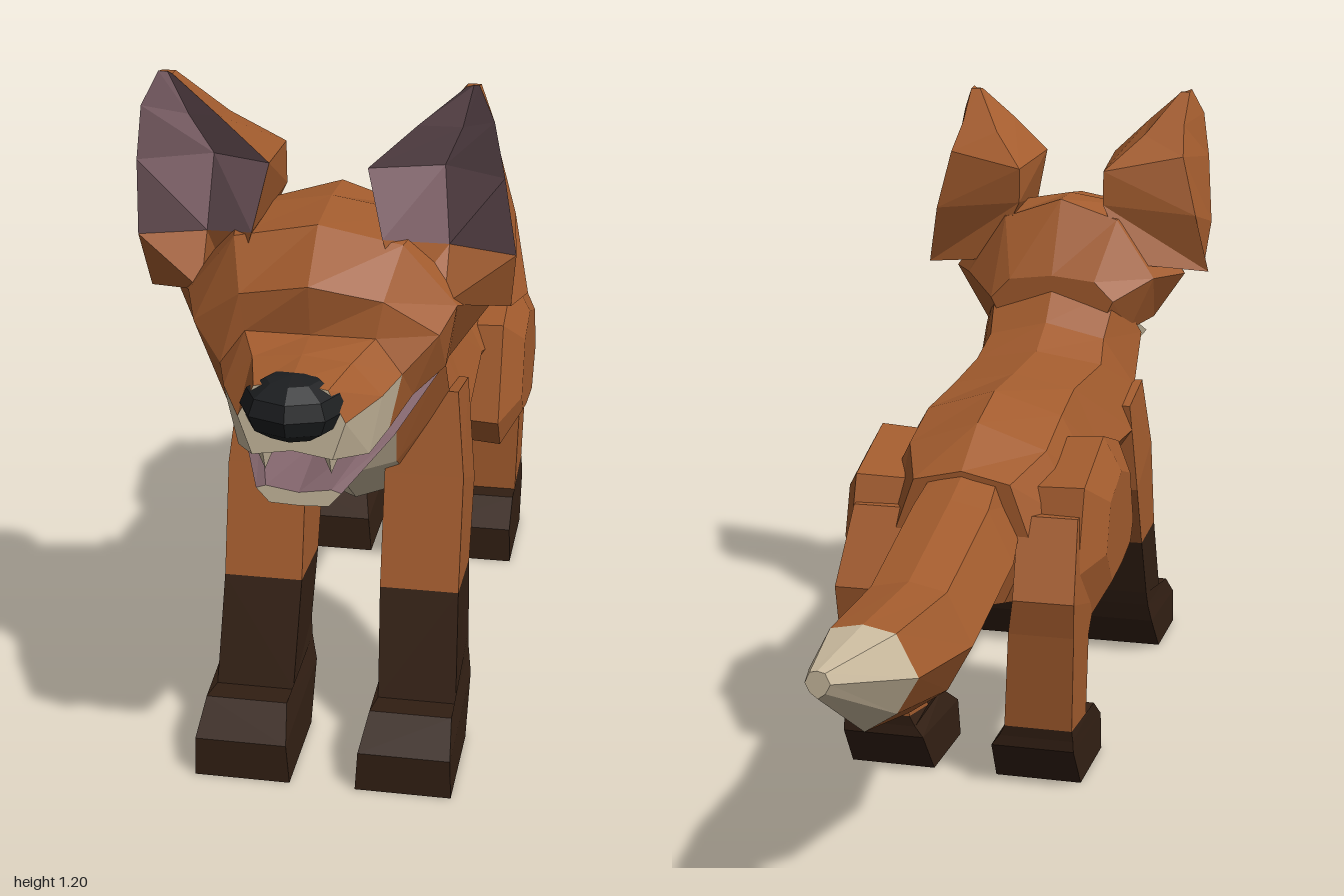
import * as THREE from 'three';

const ORANGE = 0xa35c2e, DARK = 0x332014, CREAM = 0xcbbb9f, PINK = 0x80636a, BLACK = 0x1c1e20;

const material = (color) => new THREE.MeshStandardMaterial({ color, flatShading: true, side: THREE.DoubleSide });

// Skins closed rings of points into a capped solid; colorOf(segment, column) picks the colour.
// Caps are reported as column -1.
function loft(name, rings, colorOf) {
  const group = new THREE.Group();
  group.name = name;
  const n = rings[0].length, last = rings.length - 1, tris = [];
  for (let i = 0; i < last; i++) {
    for (let j = 0; j < n; j++) {
      const k = (j + 1) % n, color = colorOf(i, j);
      const [a, b, c, d] = [rings[i][j], rings[i][k], rings[i + 1][k], rings[i + 1][j]];
      tris.push([color, a, b, c], [color, a, c, d]);
    }
  }
  for (const end of [0, last]) {
    const ring = rings[end], color = colorOf(end === 0 ? 0 : last - 1, -1);
    const mid = [0, 1, 2].map((q) => ring.reduce((s, p) => s + p[q], 0) / n);
    for (let j = 0; j < n; j++) {
      const k = (j + 1) % n;
      tris.push(end === 0 ? [color, mid, ring[k], ring[j]] : [color, mid, ring[j], ring[k]]);
    }
  }
  // Signed volume tells whether the faces point outward
  const V = (p) => new THREE.Vector3(...p);
  const volume = tris.reduce((s, [, a, b, c]) => s + V(a).dot(V(b).cross(V(c))), 0);
  const byColor = new Map();
  for (const [color, a, b, c] of tris) {
    if (!byColor.has(color)) byColor.set(color, []);
    byColor.get(color).push(...a, ...(volume > 0 ? b : c), ...(volume > 0 ? c : b));
  }
  for (const [color, points] of byColor) {
    const geometry = new THREE.BufferGeometry();
    geometry.setAttribute('position', new THREE.Float32BufferAttribute(points, 3));
    geometry.computeVertexNormals();
    const mesh = new THREE.Mesh(geometry, material(color));
    mesh.name = name + 'Surface';
    group.add(mesh);
  }
  return group;
}

// Full ring from a right half listed top to bottom: five points give eight sides
function mirrorRing(z, half) {
  const pts = half.map(([x, y, pz = z]) => [x, y, pz]);
  return [...pts, ...pts.slice(1, -1).reverse().map(([x, y, pz]) => [-x, y, pz])];
}
const isUnder = (j) => j === 3 || j === 4;

function makeBody() {
  const rings = [
    mirrorRing(0, [[0, 0.82, 0.48], [0.13, 0.8, 0.5], [0.17, 0.7, 0.57], [0.1, 0.62, 0.62], [0, 0.6, 0.64]]),
    mirrorRing(0, [[0, 0.74, 0.41], [0.12, 0.71, 0.42], [0.17, 0.6, 0.5], [0.09, 0.5, 0.56], [0, 0.48, 0.59]]),
    mirrorRing(0, [[0, 0.695, 0.33], [0.13, 0.67, 0.35], [0.19, 0.53, 0.39], [0.1, 0.4, 0.43], [0, 0.37, 0.45]]),
    mirrorRing(0.15, [[0, 0.685], [0.12, 0.66], [0.18, 0.53], [0.11, 0.39], [0, 0.365]]),
    mirrorRing(0, [[0, 0.68], [0.13, 0.64], [0.21, 0.5], [0.12, 0.35], [0, 0.32]]),
    mirrorRing(-0.12, [[0, 0.645], [0.13, 0.6], [0.2, 0.46], [0.12, 0.32], [0, 0.31]]),
    mirrorRing(-0.23, [[0, 0.58], [0.09, 0.56], [0.13, 0.45], [0.08, 0.34], [0, 0.32]]),
  ];
  return loft('body', rings, (i, j) => (isUnder(j) && i < 5 ? CREAM : ORANGE));
}

function makeTail() {
  // z, top, bottom, half width
  const rings = [
    [-0.12, 0.61, 0.37, 0.09], [-0.3, 0.545, 0.305, 0.115], [-0.55, 0.47, 0.24, 0.11],
    [-0.79, 0.472, 0.295, 0.09], [-1, 0.468, 0.425, 0.02],
  ].map(([z, top, bottom, w]) => {
    const h = top - bottom;
    return mirrorRing(z, [[0, top], [w * 0.6, top - h * 0.06], [w, top - h * 0.45], [w * 0.6, bottom + h * 0.2], [0, bottom]]);
  });
  return loft('tail', rings, (i) => (i === 3 ? CREAM : ORANGE));
}

function makeHead() {
  const head = new THREE.Group();
  head.name = 'head';
  const skull = [
    mirrorRing(0.95, [[0, 0.81], [0.055, 0.8], [0.08, 0.75], [0.06, 0.69], [0, 0.7]]),
    mirrorRing(0.87, [[0, 0.818], [0.075, 0.81], [0.12, 0.76], [0.1, 0.665], [0, 0.67]]),
    mirrorRing(0.81, [[0, 0.825], [0.1, 0.825], [0.14, 0.77], [0.12, 0.68], [0, 0.66]]),
    mirrorRing(0.8, [[0, 0.905, 0.82], [0.11, 0.88], [0.19, 0.82, 0.77], [0.15, 0.72, 0.77], [0, 0.66]]),
    mirrorRing(0.74, [[0, 0.975], [0.13, 0.95], [0.21, 0.85, 0.72], [0.19, 0.74, 0.7], [0, 0.65]]),
    mirrorRing(0.63, [[0, 0.985], [0.15, 0.96], [0.25, 0.82], [0.185, 0.725], [0, 0.62]]),
    mirrorRing(0.54, [[0, 0.98], [0.12, 0.94], [0.2, 0.82], [0.15, 0.71], [0, 0.64]]),
    mirrorRing(0.46, [[0, 0.83], [0.09, 0.82], [0.13, 0.78], [0.1, 0.72], [0, 0.7]]),
  ];
  head.add(loft('skull', skull, (i, j) => {
    const muzzleSide = i < 2 && (j === 2 || j === 5);
    return isUnder(j) || muzzleSide || (i === 0 && j === -1) ? CREAM : ORANGE;
  }));

  // Lower jaw with a pink mouth lining
  const jaw = [
    mirrorRing(0.91, [[0, 0.612], [0.05, 0.62], [0.065, 0.615], [0.045, 0.592], [0, 0.59]]),
    mirrorRing(0.76, [[0, 0.625], [0.09, 0.65], [0.12, 0.645], [0.08, 0.605], [0, 0.597]]),
    mirrorRing(0.6, [[0, 0.66], [0.15, 0.72], [0.175, 0.7], [0.11, 0.62], [0, 0.605]]),
  ];
  head.add(loft('lowerJaw', jaw, (i, j) => ([0, 1, 6, 7].includes(j) ? PINK : CREAM)));

  const nose = new THREE.Mesh(new THREE.SphereGeometry(1, 8, 6), material(BLACK));
  nose.name = 'nose';
  nose.scale.set(0.08, 0.05, 0.065);
  nose.position.set(0, 0.765, 0.935);
  head.add(nose);

  for (const side of [-1, 1]) {
    const tooth = new THREE.Mesh(new THREE.ConeGeometry(0.018, 0.045, 4), material(CREAM));
    tooth.name = 'tooth';
    tooth.rotation.x = Math.PI;
    tooth.position.set(side * 0.05, 0.67, 0.91);
    head.add(tooth, makeEar(side));
  }
  return head;
}

// Ear rings: inner rim, hollow, outer rim, outer back, inner back
function makeEar(side) {
  const rings = [
    [[0.13, 0.86, 0.75], [0.19, 0.85, 0.72], [0.285, 0.83, 0.66], [0.305, 0.83, 0.6], [0.15, 0.85, 0.53]],
    [[0.1, 0.96, 0.75], [0.19, 0.93, 0.67], [0.295, 0.925, 0.69], [0.28, 0.95, 0.57], [0.09, 0.97, 0.54]],
    [[0.075, 1.065, 0.73], [0.18, 1.05, 0.65], [0.28, 1.06, 0.73], [0.25, 1.07, 0.58], [0.09, 1.04, 0.54]],
    [[0.15, 1.135, 0.73], [0.21, 1.12, 0.68], [0.265, 1.15, 0.745], [0.24, 1.13, 0.64], [0.16, 1.11, 0.62]],
    [[0.22, 1.195, 0.725], [0.23, 1.195, 0.715], [0.24, 1.2, 0.73], [0.24, 1.195, 0.705], [0.22, 1.195, 0.705]],
  ].map((ring) => ring.map(([x, y, z]) => [x * side, y, z]));
  return loft('ear', rings, (i, j) => (i > 0 && (j === 0 || j === 1) ? PINK : ORANGE));
}

// Square-section leg from rows of front z, front y, back z, back y, inner x, outer x
function makeLeg(name, side, rows, darkRows) {
  const rings = rows.map(([fz, fy, bz, by, xi, xo]) =>
    [[xi, fy, fz], [xo, fy, fz], [xo, by, bz], [xi, by, bz]].map(([x, y, z]) => [x * side, y, z]));
  return loft(name, rings, (i) => (i < darkRows ? DARK : ORANGE));
}

const FRONT_LEG = [
  [0.775, 0, 0.594, 0, 0.055, 0.215],
  [0.775, 0.07, 0.515, 0.08, 0.06, 0.213],
  [0.716, 0.115, 0.5, 0.12, 0.07, 0.207],
  [0.65, 0.1, 0.49, 0.15, 0.073, 0.205],
  [0.594, 0.28, 0.455, 0.27, 0.067, 0.2],
  [0.545, 0.47, 0.396, 0.4, 0.067, 0.2],
  [0.51, 0.61, 0.38, 0.58, 0.08, 0.185],
];
const HIND_LEG = [
  [-0.03, 0, -0.21, 0, 0.06, 0.22],
  [-0.03, 0.07, -0.265, 0.08, 0.065, 0.218],
  [-0.09, 0.112, -0.265, 0.1, 0.08, 0.217],
  [-0.15, 0.1, -0.267, 0.12, 0.09, 0.215],
  [-0.155, 0.27, -0.28, 0.3, 0.1, 0.22],
  [-0.12, 0.32, -0.29, 0.365, 0.11, 0.222],
  [-0.1, 0.5, -0.21, 0.5, 0.1, 0.21],
];

// Rounded haunch: a side outline stepped outward and shrunk
function makeThigh(side) {
  const outline = [[0.18, 0.4], [0.12, 0.57], [-0.02, 0.61], [-0.18, 0.55], [-0.23, 0.4], [-0.14, 0.29], [0.02, 0.31], [0.14, 0.34]];
  const rings = [[0.1, 0.95], [0.215, 1], [0.25, 0.6]].map(([x, s]) =>
    outline.map(([z, y]) => [x * side, 0.45 + (y - 0.45) * s, -0.02 + (z + 0.02) * s]));
  return loft('thigh', rings, () => ORANGE);
}

export function createModel() {
  const model = new THREE.Group();
  model.name = 'fox';
  model.add(makeBody(), makeTail(), makeHead());
  for (const side of [-1, 1]) {
    model.add(
      makeLeg('frontLeg', side, FRONT_LEG, 4),
      makeLeg('hindLeg', side, HIND_LEG, 3),
      makeThigh(side),
    );
  }
  return model;
}
